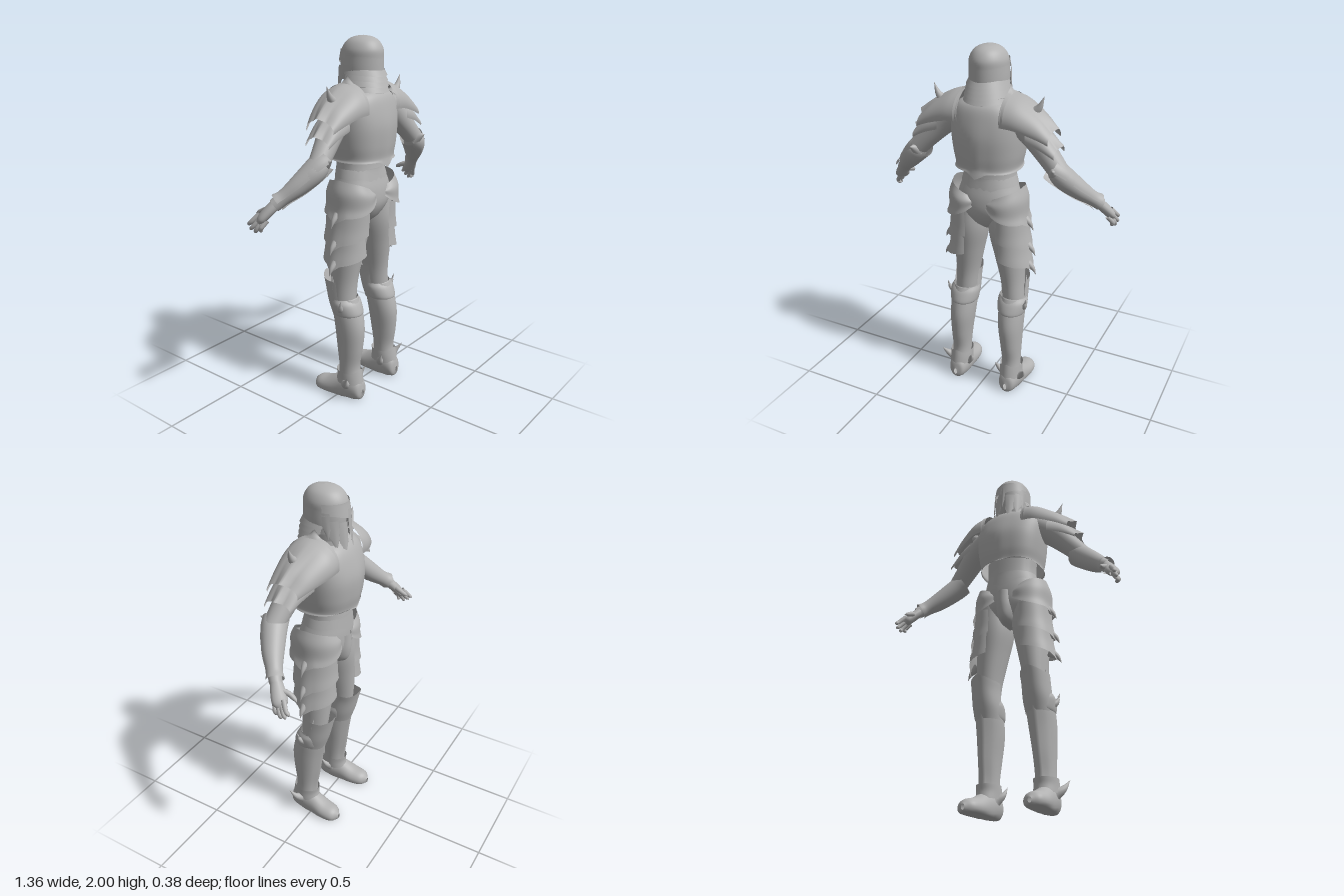
import * as THREE from 'three';

const X = new THREE.Vector3(1, 0, 0), Y = new THREE.Vector3(0, 1, 0), Z = new THREE.Vector3(0, 0, 1);
const steel = new THREE.MeshStandardMaterial({ color: 0xb2b2b2, side: THREE.DoubleSide });
steel.name = 'steel';
const D = Math.PI / 180;

// Smooth skin through sections [x, y, z, radiusU, radiusV]; an arc from a0 to a1 degrees makes an open plate.
// U and V are the ring axes; along turns the rings square to the path; warp(point, v, degrees) bends the result.
function loft(parent, name, secs, o = {}) {
  const { a0 = 0, a1 = 360, U = X, V = Z, along = false, warp, power = 2, nu = 28, steps = 5 } = o;
  const path = new THREE.CatmullRomCurve3(secs.map(s => new THREE.Vector3(s[0], s[1], s[2])), false, 'catmullrom', 0.5);
  const size = new THREE.CatmullRomCurve3(secs.map(s => new THREE.Vector3(s[3], s[4], 0)), false, 'catmullrom', 0.5);
  const closed = a1 - a0 >= 360, nv = (secs.length - 1) * steps, cols = closed ? nu : nu + 1;
  const pos = [], idx = [];
  const bulge = n => Math.sign(n) * Math.abs(n) ** (2 / power);
  for (let j = 0; j <= nv; j++) {
    const v = j / nv, c = path.getPoint(v), r = size.getPoint(v);
    let u = U, w = V;
    if (along) {
      const t = path.getTangent(v);
      u = new THREE.Vector3().crossVectors(Math.abs(t.y) > 0.95 ? Z : Y, t).normalize();
      w = new THREE.Vector3().crossVectors(t, u);
    }
    for (let i = 0; i < cols; i++) {
      const deg = a0 + (a1 - a0) * i / nu;
      const p = c.clone()
        .addScaledVector(u, Math.max(r.x, 0.0005) * bulge(Math.cos(deg * D)))
        .addScaledVector(w, Math.max(r.y, 0.0005) * bulge(Math.sin(deg * D)));
      if (warp) warp(p, v, deg);
      pos.push(p.x, Math.max(p.y, 0), p.z);
    }
  }
  // Choose the corner order that faces outward
  const travel = path.getPoint(1).sub(path.getPoint(0));
  const outward = !along && new THREE.Vector3().crossVectors(U, V).dot(travel) < 0;
  for (let j = 0; j < nv; j++) for (let i = 0; i < nu; i++) {
    const a = j * cols + i, b = j * cols + (i + 1) % cols, c = a + cols, d = b + cols;
    if (outward) idx.push(a, c, b, b, c, d);
    else idx.push(a, b, c, b, d, c);
  }
  const g = new THREE.BufferGeometry();
  g.setAttribute('position', new THREE.Float32BufferAttribute(pos, 3));
  g.setIndex(idx);
  g.computeVertexNormals();
  const m = new THREE.Mesh(g, steel);
  m.name = name;
  parent.add(m);
}

const spike = (parent, name, a, mid, tip, r) =>
  loft(parent, name, [[...a, r, r], [...mid, r * 0.5, r * 0.5], [...tip, 0, 0]], { along: true, nu: 12 });

// Ridge or point centred on one angle, fading over a width in degrees
const near = (deg, at, width) => Math.max(0, 1 - Math.abs(deg - at) / width);

function helmet(g) {
  loft(g, 'face', [[0, 1.68, 0.02, 0.07, 0.075], [0, 1.78, 0.01, 0.082, 0.094], [0, 1.9, 0.012, 0.09, 0.1], [0, 1.96, 0.01, 0.05, 0.06]]);
  loft(g, 'skullCap', [[0, 1.885, 0.014, 0.1, 0.117], [0, 1.93, 0.016, 0.097, 0.114], [0, 1.97, 0.018, 0.076, 0.09],
    [0, 1.992, 0.02, 0.042, 0.052], [0, 2, 0.02, 0, 0]], { nu: 40 });
  loft(g, 'helmetSides', [[0, 1.78, 0.014, 0.1, 0.116], [0, 1.84, 0.013, 0.102, 0.118], [0, 1.9, 0.014, 0.1, 0.117]], { a0: -38, a1: 218 });
  for (let i = 0; i < 4; i++) {
    const y = 1.84 - i * 0.027, r = 0.103 + i * 0.006;
    loft(g, 'neckLame', [[0, y, 0.02, r - 0.006, 0.116 + i * 0.003], [0, y - 0.03, 0.025, r + 0.006, 0.127 + i * 0.003]],
      { a0: -25 + i * 6, a1: 205 - i * 6, warp: (p, v, d) => { p.y -= 0.012 * near(d, 90, 90); } });
  }
  loft(g, 'brow', [[0, 1.93, 0.014, 0.101, 0.118], [0, 1.875, 0.01, 0.107, 0.126]],
    { a0: 195, a1: 345, warp: (p, v, d) => { p.y -= v * 0.025 * near(d, 270, 45); } });
  // Nose strip and the pointed tines of the mask
  for (const [at, half, top, tip] of [[270, 6, 1.9, 1.74], [249, 13, 1.84, 1.675], [291, 13, 1.84, 1.675],
    [223, 12, 1.85, 1.7], [317, 12, 1.85, 1.7], [203, 9, 1.89, 1.75], [337, 9, 1.89, 1.75]])
    loft(g, 'maskTine', [[0, top, 0.01, 0.106, 0.126], [0, tip + 0.07, 0.005, 0.106, 0.127], [0, tip + 0.065, 0.003, 0.104, 0.126]],
      { a0: at - half, a1: at + half, nu: 8, warp: (p, v, d) => {
        p.y -= v * v * 0.065 * near(d, at, half);
        p.z -= v * 0.01 * near(d, at, half);
      } });
}

function torso(g) {
  loft(g, 'gorget', [[0, 1.68, 0.015, 0.13, 0.13], [0, 1.725, 0.015, 0.118, 0.125], [0, 1.75, 0.02, 0.12, 0.125]], { a0: -50, a1: 230 });
  loft(g, 'cuirass', [[0, 1.365, 0.008, 0.18, 0.165], [0, 1.385, 0.006, 0.175, 0.162], [0, 1.45, 0.004, 0.188, 0.172], [0, 1.55, 0.004, 0.2, 0.176],
    [0, 1.64, 0.008, 0.2, 0.158], [0, 1.7, 0.012, 0.165, 0.135], [0, 1.735, 0.015, 0.1, 0.1]], {
    power: 2.4, nu: 60, warp: (p, v, d) => {
      const edge = Math.max(0, 1 - v * 8);
      p.z += 0.012 * (near(d, 90, 14) - near(d, 270, 14)) * (1 - v);
      p.y += edge * (0.025 * near(d, 270, 90) - 0.03 * near(d, 90, 14) - 0.02 * near(d, 270, 20));
    } });
  loft(g, 'abdomen', [[0, 1.42, 0, 0.145, 0.11], [0, 1.34, 0, 0.142, 0.112], [0, 1.28, 0.003, 0.15, 0.118], [0, 1.2, 0.01, 0.175, 0.13],
    [0, 1.12, 0.012, 0.165, 0.128], [0, 1.05, 0.01, 0.095, 0.095], [0, 1.01, 0.01, 0.03, 0.05]], { power: 2.2 });
  loft(g, 'waistBand', [[0, 1.32, 0, 0.146, 0.117], [0, 1.27, 0.004, 0.16, 0.126]],
    { warp: (p, v, d) => { p.y -= v * 0.04 * (near(d, 90, 40) + near(d, 270, 40)); }, nu: 48 });
  loft(g, 'codpiece', [[0, 1.2, 0, 0.07, 0.135], [0, 1.1, 0, 0.07, 0.135], [0, 1.03, 0, 0.045, 0.11], [0, 1.0, 0.01, 0.01, 0.03]], { a0: 180, a1: 360 });
}

function leg(g) {
  loft(g, 'thigh', [[0.1, 1.14, 0.01, 0.09, 0.11], [0.108, 1, 0.01, 0.098, 0.115], [0.125, 0.85, 0.005, 0.083, 0.098],
    [0.14, 0.7, 0, 0.066, 0.08], [0.15, 0.58, 0.005, 0.062, 0.07]]);
  loft(g, 'greave', [[0.15, 0.6, 0.01, 0.068, 0.078], [0.152, 0.52, 0.03, 0.074, 0.088], [0.155, 0.42, 0.048, 0.07, 0.09],
    [0.16, 0.3, 0.052, 0.06, 0.078], [0.163, 0.19, 0.052, 0.054, 0.062], [0.165, 0.1, 0.06, 0.056, 0.07]],
    { warp: (p, v, d) => { p.z -= 0.012 * near(d, 270, 25); } });
  // Knee plate rising to a flared lip on the shin side
  loft(g, 'kneePlate', [[0.15, 0.5, 0.026, 0.073, 0.088], [0.15, 0.57, 0, 0.077, 0.088], [0.15, 0.65, -0.015, 0.075, 0.095], [0.148, 0.7, -0.025, 0.076, 0.1]],
    { a0: 165, a1: 375, warp: (p, v, d) => { p.y += v * 0.03 * near(d, 270, 60); } });
  loft(g, 'kneeBack', [[0.15, 0.6, 0.01, 0.078, 0.068], [0.152, 0.57, 0.02, 0.086, 0.082], [0.152, 0.52, 0.03, 0.08, 0.092], [0.153, 0.5, 0.035, 0.07, 0.08]]);
  spike(g, 'kneeSpike', [0.2, 0.54, 0.025], [0.235, 0.56, 0.045], [0.25, 0.615, 0.06], 0.03);
  spike(g, 'kneeWing', [0.205, 0.62, -0.02], [0.216, 0.67, -0.02], [0.208, 0.725, -0.03], 0.018);
  // Hip plate whose ends narrow to tongues reaching the front and back middle
  loft(g, 'hipPlate', [[0.105, 1.25, 0.015, 0.098, 0.118], [0.105, 1.19, 0.018, 0.118, 0.14], [0.105, 1.12, 0.017, 0.12, 0.142],
    [0.108, 1.08, 0.017, 0.132, 0.146]], {
    a0: -122, a1: 122, nu: 48, warp: (p, v, d) => {
      const end = Math.min(1, Math.abs(d) / 122) ** 3;
      p.y += (1.185 - p.y) * 0.75 * end + 0.025 * (1 - v) * near(d, 0, 90) - v * v * 0.035 * near(d, 0, 25);
    } });
  // Two thigh plates, each sweeping down to a point at the outside
  [[[0.12, 1.11, 0.01, 0.1, 0.125], [0.12, 1.02, 0.008, 0.11, 0.125], [0.123, 0.965, 0.006, 0.124, 0.129]],
    [[0.13, 0.98, 0.005, 0.095, 0.115], [0.132, 0.9, 0.005, 0.104, 0.12], [0.134, 0.85, 0.005, 0.12, 0.125]]].forEach(secs =>
    loft(g, 'thighPlate', secs, {
      a0: -105, a1: 105, nu: 40, warp: (p, v, d) => {
        p.y -= v * v * (0.05 * near(d, 0, 105) + 0.025 * near(d, 0, 20));
        p.x += v * v * 0.012 * near(d, 0, 20);
      } }));
  for (const [x, y] of [[0.228, 1.075], [0.243, 0.925], [0.25, 0.81]])
    spike(g, 'plateSpike', [x - 0.025, y + 0.02, 0.012], [x + 0.015, y - 0.012, 0.012], [x + 0.036, y - 0.05, 0.012], 0.026);
  // Foot with a flat sole, heel to toe
  loft(g, 'foot', [[0.165, 0.04, 0.146, 0.01, 0.02], [0.165, 0.055, 0.13, 0.045, 0.06], [0.167, 0.06, 0.07, 0.058, 0.085],
    [0.172, 0.045, 0, 0.058, 0.078], [0.178, 0.03, -0.08, 0.062, 0.055], [0.182, 0.025, -0.145, 0.05, 0.042],
    [0.182, 0.022, -0.178, 0.01, 0.015]], { V: Y });
  loft(g, 'ankleCuff', [[0.165, 0.165, 0.05, 0.064, 0.076], [0.165, 0.13, 0.055, 0.064, 0.078], [0.166, 0.09, 0.055, 0.064, 0.085]],
    { warp: (p, v, d) => { p.y += (1 - v) * 0.02 * near(d, 90, 40); } });
  spike(g, 'ankleSpikeOuter', [0.2, 0.085, 0.06], [0.245, 0.115, 0.08], [0.268, 0.165, 0.115], 0.036);
  spike(g, 'ankleSpikeInner', [0.13, 0.085, 0.06], [0.093, 0.115, 0.075], [0.08, 0.16, 0.1], 0.032);
}

function arm(g) {
  loft(g, 'upperArm', [[0.16, 1.64, 0.02, 0.08, 0.075], [0.25, 1.58, 0.03, 0.072, 0.072], [0.34, 1.49, 0.05, 0.06, 0.06],
    [0.42, 1.405, 0.065, 0.052, 0.052]], { along: true });
  loft(g, 'forearm', [[0.38, 1.44, 0.065, 0.04, 0.04], [0.43, 1.385, 0.06, 0.06, 0.058], [0.5, 1.315, 0.015, 0.052, 0.05],
    [0.565, 1.255, -0.035, 0.036, 0.036], [0.6, 1.22, -0.065, 0.032, 0.034]], { along: true });
  loft(g, 'vambrace', [[0.375, 1.425, 0.075, 0.066, 0.062], [0.42, 1.39, 0.06, 0.066, 0.063], [0.5, 1.315, 0.015, 0.056, 0.054],
    [0.56, 1.26, -0.03, 0.042, 0.042], [0.59, 1.235, -0.055, 0.046, 0.046]], { along: true, a0: -110, a1: 170 });
  spike(g, 'elbowSpike', [0.4, 1.4, 0.08], [0.405, 1.425, 0.12], [0.41, 1.435, 0.145], 0.036);
  // Hand and fingers
  loft(g, 'palm', [[0.585, 1.235, -0.055, 0.028, 0.028], [0.615, 1.195, -0.085, 0.037, 0.027], [0.64, 1.155, -0.113, 0.04, 0.024],
    [0.65, 1.135, -0.125, 0.024, 0.014]], { along: true, nu: 18 });
  for (const [my, mz, ty, tz, tx] of [[1.158, -0.142, 1.115, -0.178, 0.668], [1.145, -0.127, 1.095, -0.16, 0.672],
    [1.135, -0.11, 1.083, -0.135, 0.667], [1.133, -0.092, 1.09, -0.107, 0.655]])
    loft(g, 'finger', [[0.638, my + 0.015, mz + 0.01, 0.013, 0.013], [0.664, (my + ty) / 2, (mz + tz) / 2, 0.012, 0.012],
      [tx, ty + 0.006, tz, 0.009, 0.009], [tx - 0.002, ty, tz - 0.004, 0, 0]], { along: true, nu: 10 });
  loft(g, 'thumb', [[0.61, 1.2, -0.09, 0.017, 0.017], [0.597, 1.185, -0.135, 0.014, 0.014], [0.6, 1.168, -0.17, 0.011, 0.011],
    [0.608, 1.16, -0.188, 0, 0]], { along: true, nu: 10 });
  // Shoulder plates, arched over the arm with a ridge ending in a point
  const arch = { U: Z, V: Y, a0: -12, a1: 192, nu: 40, warp: (p, v, d) => {
    p.y += 0.012 * near(d, 90, 25) * v;
    p.x += v * v * 0.025 * near(d, 90, 25);
  } };
  loft(g, 'pauldron', [[0.122, 1.645, 0.01, 0.145, 0.125], [0.2, 1.635, 0.012, 0.14, 0.11], [0.3, 1.6, 0.025, 0.112, 0.082],
    [0.372, 1.565, 0.038, 0.088, 0.05]], arch);
  loft(g, 'pauldronCollar', [[0.118, 1.645, 0.01, 0.142, 0.128], [0.14, 1.645, 0.01, 0.148, 0.122]],
    { ...arch, warp: (p, v, d) => { p.y += (1 - v) * 0.035 * near(d, 90, 14); } });
  loft(g, 'shoulderLame', [[0.25, 1.57, 0.03, 0.1, 0.085], [0.33, 1.54, 0.04, 0.088, 0.07], [0.405, 1.495, 0.048, 0.075, 0.038]], arch);
  spike(g, 'shoulderSpike', [0.24, 1.67, 0.03], [0.285, 1.715, 0.035], [0.312, 1.775, 0.035], 0.036);
}

export function createModel() {
  const root = new THREE.Group();
  root.name = 'armouredFigure';
  const add = (name, build, flip) => {
    const g = new THREE.Group();
    g.name = name;
    build(g);
    if (flip) g.scale.x = -1;
    root.add(g);
  };
  add('helmet', helmet);
  add('torso', torso);
  for (const flip of [false, true]) {
    add(flip ? 'rightLeg' : 'leftLeg', leg, flip);
    add(flip ? 'rightArm' : 'leftArm', arm, flip);
  }
  return root;
}
